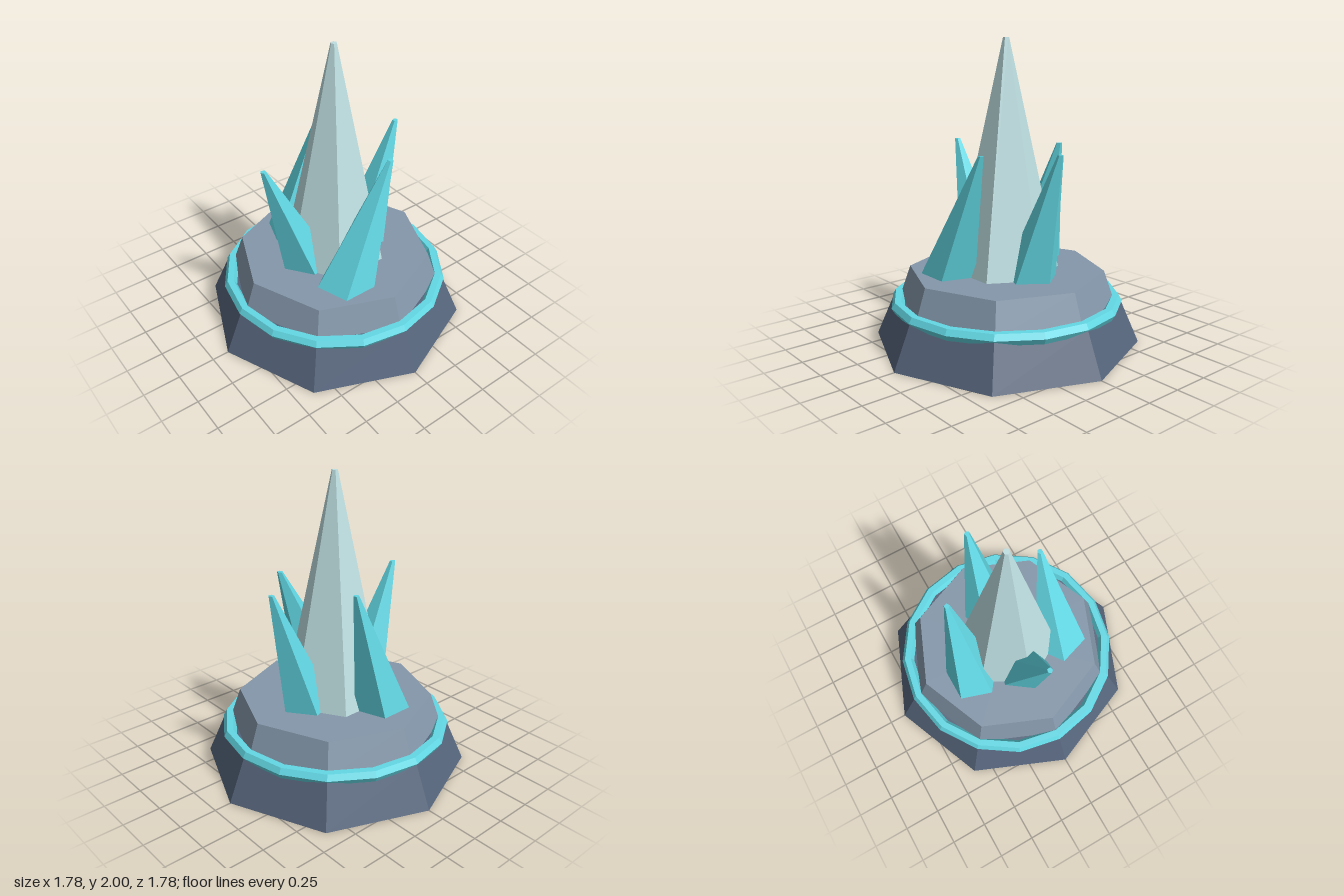
import * as THREE from 'three';

const paint = (name, color) => {
  const m = new THREE.MeshStandardMaterial({ color, flatShading: true });
  m.name = name;
  return m;
};

export function createModel() {
  const slate = paint('darkSlate', 0x56657c);
  const stone = paint('greyStone', 0x8497aa);
  const cyan = paint('cyanCrystal', 0x62d8e4);
  const pale = paint('paleCrystal', 0xbfe0e2);

  const model = new THREE.Group();
  model.name = 'crystalPedestal';
  const add = (name, geometry, material) => {
    const mesh = new THREE.Mesh(geometry, material);
    mesh.name = name;
    model.add(mesh);
    return mesh;
  };

  // Tapered solid between two heights
  const frustum = (rTop, rBottom, y0, y1, sides) =>
    new THREE.CylinderGeometry(rTop, rBottom, y1 - y0, sides).translate(0, (y0 + y1) / 2, 0);

  // Octagonal pedestal in two tiers
  add('lowerBase', frustum(0.765, 0.888, 0, 0.285, 8), slate);
  add('upperBase', frustum(0.65, 0.722, 0.28, 0.487, 8), stone);

  // Glowing ring around the step
  add('ring', new THREE.TorusGeometry(0.73, 0.043, 6, 16).rotateX(Math.PI / 2).translate(0, 0.285, 0), cyan);

  // Tall central spike
  add('mainSpike', frustum(0.02, 0.361, 0.46, 2, 6).rotateY(Math.PI / 2), pale);

  // Five-sided leaning crystals: base centre, tip, and direction of the first corner
  const crystals = [
    ['rightCrystal', [-0.222, 0], [-0.527, 1.307, 0], -Math.PI / 2, 0.183],
    ['leftCrystal', [0.243, 0], [0.51, 1.312, 0], Math.PI / 2, 0.183],
    ['frontCrystal', [-0.16, 0.34], [0.178, 1.3, 0.345], Math.PI, 0.195],
    ['backCrystal', [-0.11, -0.335], [0.135, 1.315, -0.345], 0, 0.19],
  ];
  const y0 = 0.475;
  for (const [name, [bx, bz], [tx, ty, tz], turn, radius] of crystals) {
    const geometry = frustum(0.019, radius, y0, ty, 5).rotateY(turn);
    const p = geometry.attributes.position;
    for (let i = 0; i < p.count; i++) {
      const t = (p.getY(i) - y0) / (ty - y0);
      p.setX(i, p.getX(i) + bx + (tx - bx) * t);
      p.setZ(i, p.getZ(i) + bz + (tz - bz) * t);
    }
    geometry.computeVertexNormals();
    add(name, geometry, cyan);
  }
  return model;
}
